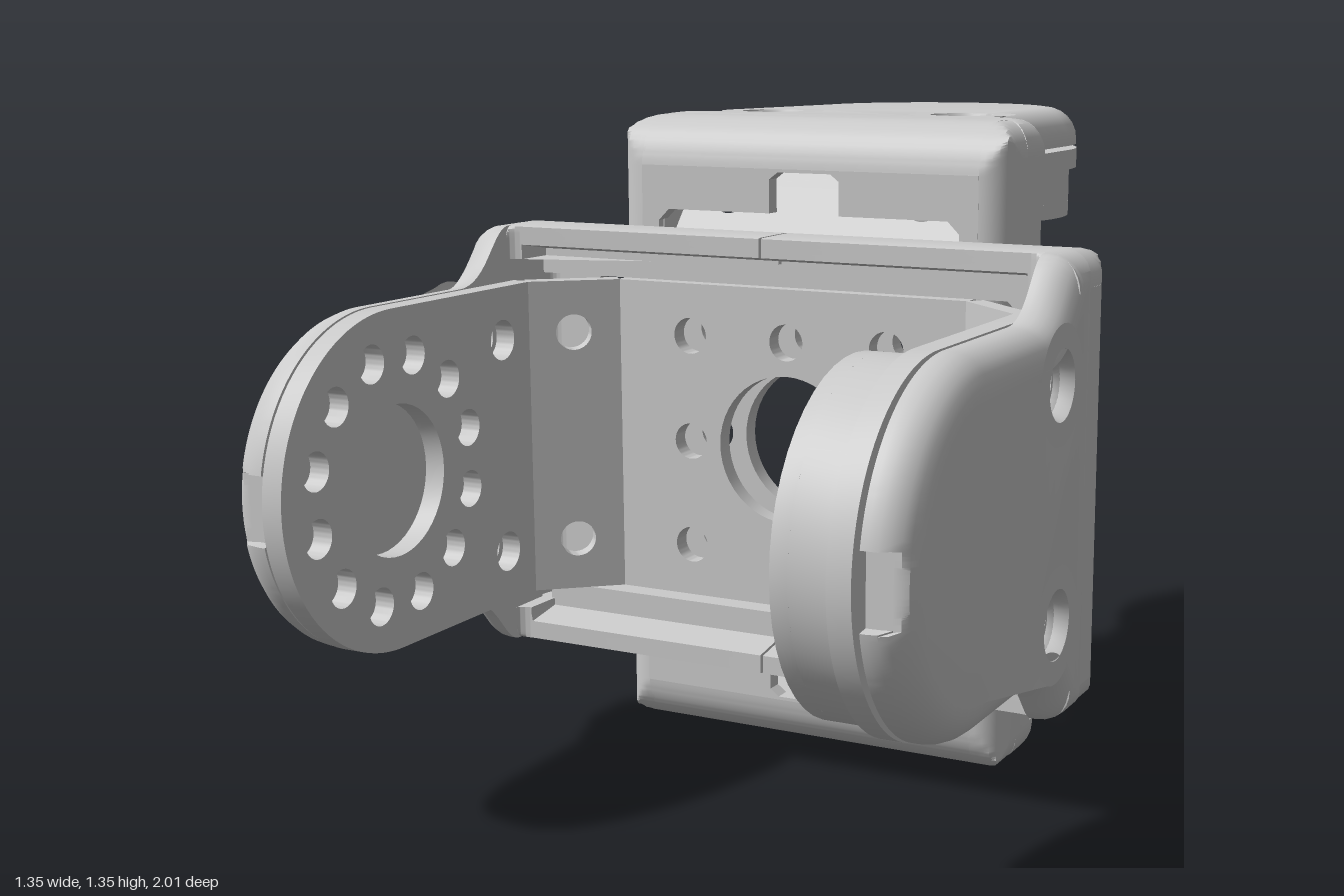
import * as THREE from 'three';
import { toCreasedNormals } from 'three/addons/utils/BufferGeometryUtils.js';

const material = new THREE.MeshStandardMaterial({ color: 0xcccccc, side: THREE.DoubleSide });
const PI = Math.PI;
const EDGE = 0.07; // radius of the rounded outer edges

function add(parent, name, geometry) {
  const mesh = new THREE.Mesh(toCreasedNormals(geometry, 0.6), material);
  mesh.name = name;
  parent.add(mesh);
  return mesh;
}

const polygon = (points) => new THREE.Shape(points.map(([x, y]) => new THREE.Vector2(x, y)));

function rect(x0, x1, y) {
  return polygon([[x0, -y], [x1, -y], [x1, y], [x0, y]]);
}

function hole(shape, x, y, r) {
  shape.holes.push(new THREE.Path().absarc(x, y, r, 0, 2 * PI, false));
}

const slab = (shape, depth, steps = 1) =>
  new THREE.ExtrudeGeometry(shape, { depth, steps, bevelEnabled: false, curveSegments: 24 });

// Arm cover rounded on its far side only, with a small notch pressed into the tip
function roundedCover(shape, depth) {
  const g = new THREE.ExtrudeGeometry(shape, {
    depth: depth - EDGE, bevelThickness: EDGE, bevelSize: EDGE, bevelOffset: -EDGE,
    bevelSegments: 6, curveSegments: 24,
  });
  const p = g.attributes.position;
  for (let i = 0; i < p.count; i++) {
    p.setZ(i, Math.max(0, p.getZ(i)));
    if (Math.abs(p.getY(i)) < 0.066) p.setX(i, Math.min(0.965, p.getX(i)));
  }
  return g;
}

// Rim strip whose outer side draws in along a quarter circle and whose inner side is stepped
function roundedRim(shape) {
  const g = slab(shape, EDGE, 7);
  const p = g.attributes.position;
  for (let i = 0; i < p.count; i++) {
    const a = p.getZ(i) / EDGE * PI / 2, z = EDGE * Math.sin(a);
    const inset = EDGE * (1 - Math.cos(a)), limit = 0.675 - inset;
    const x = Math.max(-limit, Math.min(limit, p.getX(i)));
    const top = z < 0.02 && Math.abs(x) < 0.565 ? 0.1 : 0.21 - 0.4 * inset;
    p.setXYZ(i, x, Math.min(top, Math.max(inset, p.getY(i))), z);
  }
  return g;
}

// Arm outline: x runs along the arm, y across it
function coverShape() {
  const s = new THREE.Shape(), a = 0.21;
  s.moveTo(0.1, -0.45);
  s.lineTo(0.1, 0.45);
  s.lineTo(0.19, 0.45);
  s.bezierCurveTo(0.25, 0.45, 0.27, 0.335, 0.37, 0.335);
  s.lineTo(0.66, 0.335);
  s.absarc(0.66, 0, 0.335, PI / 2, a, true);
  s.absarc(0.66, 0, 0.335, a, -a, true);
  s.absarc(0.66, 0, 0.335, -a, -PI / 2, true);
  s.lineTo(0.37, -0.335);
  s.bezierCurveTo(0.27, -0.335, 0.25, -0.45, 0.19, -0.45);
  return s;
}

function armPlateShape(drilled) {
  const s = new THREE.Shape();
  s.moveTo(0.19, -0.335);
  s.lineTo(0.665, -0.335);
  s.absarc(0.665, 0, 0.335, -PI / 2, PI / 2, false);
  s.lineTo(0.19, 0.335);
  for (const v of [-0.225, 0.225]) hole(s, 0.3, v, 0.042);
  if (drilled) {
    hole(s, 0.665, 0, 0.15);
    for (let i = 0; i < 12; i++) {
      const t = (i + 0.5) * PI / 6;
      hole(s, 0.665 + 0.245 * Math.cos(t), 0.245 * Math.sin(t), 0.038);
    }
  }
  return s;
}

// One arm on the -x side, with its cover, corner and slanted brace
function createArm(drilled) {
  const arm = new THREE.Group();
  const cover = coverShape();
  for (const v of [-0.225, 0.225]) hole(cover, 0.3, v, 0.042);
  add(arm, 'armCover', roundedCover(cover, 0.082).rotateY(-PI / 2).translate(-0.595, 0, 0));
  add(arm, 'armPlate', slab(armPlateShape(drilled), 0.044).rotateY(-PI / 2).translate(-0.542, 0, 0));

  // Counterbored screw seats
  const seat = [[0.042, 0], [0.042, 0.045], [0.056, 0.045], [0.06, 0.065], [0.068, 0.082], [0.114, 0.082]]
    .map(([r, h]) => new THREE.Vector2(r, h));
  for (const v of [-0.225, 0.225]) {
    add(arm, 'screwSeat', new THREE.LatheGeometry(seat, 32).rotateZ(PI / 2).translate(-0.595, v, 0.3));
  }

  // Curved corner wall
  const corner = new THREE.Shape();
  corner.moveTo(-0.57, 0);
  corner.quadraticCurveTo(-0.665, 0.01, -0.675, 0.1);
  corner.lineTo(-0.675, 0.2);
  corner.lineTo(-0.605, 0.2);
  corner.lineTo(-0.605, 0.11);
  corner.quadraticCurveTo(-0.605, 0.035, -0.57, 0.035);
  add(arm, 'cornerWall', slab(corner, 0.77).rotateX(PI / 2).translate(0, 0.385, 0));

  // Slanted plate between web and arm
  const brace = rect(0, 0.197, 0.335);
  for (const v of [-0.225, 0.225]) hole(brace, 0.1, v, 0.038);
  add(arm, 'slantedPlate', slab(brace, 0.04).rotateY(Math.atan2(-0.128, -0.148)).translate(-0.395, 0, 0.075));

  // Rim along one long edge of the web, split at the middle
  for (const s of [-1, 1]) {
    const rim = new THREE.Shape();
    rim.moveTo(s * 0.003, 0);
    rim.lineTo(s * 0.57, 0);
    rim.quadraticCurveTo(s * 0.665, 0.01, s * 0.675, 0.1);
    rim.lineTo(s * 0.675, 0.21);
    rim.lineTo(s * 0.597, 0.21);
    rim.quadraticCurveTo(s * 0.595, 0.187, s * 0.56, 0.187);
    rim.lineTo(s * 0.003, 0.187);
    add(arm, 'rim', roundedRim(rim).rotateX(PI / 2).translate(0, -0.38, 0));
  }
  add(arm, 'rimLedge', new THREE.BoxGeometry(1.14, 0.045, 0.08).translate(0, -0.3655, 0.06));
  return arm;
}

// Round bearing with pockets and a splined hub, on the inside of the +x arm
function createBearing() {
  const bearing = new THREE.Group();
  bearing.name = 'bearing';
  add(bearing, 'bearingBase', new THREE.CylinderGeometry(0.32, 0.32, 0.085, 64).rotateX(PI / 2).translate(0, 0, 0.0425));
  const face = new THREE.Shape().absarc(0, 0, 0.32, 0, 2 * PI, false);
  for (let i = 0; i < 4; i++) {
    const t = i * PI / 2;
    const pocket = [[0.175, -0.04], [0.22, -0.04], [0.22, -0.07], [0.28, -0.07],
      [0.28, 0.07], [0.22, 0.07], [0.22, 0.04], [0.175, 0.04]];
    face.holes.push(polygon(pocket.map(([r, w]) =>
      [r * Math.cos(t) - w * Math.sin(t), r * Math.sin(t) + w * Math.cos(t)])));
  }
  add(bearing, 'bearingFace', slab(face, 0.033).translate(0, 0, 0.084));
  const hub = new THREE.Shape().absarc(0, 0, 0.135, 0, 2 * PI, false);
  const spline = [];
  for (let i = 0; i < 40; i++) {
    const r = i % 2 ? 0.078 : 0.092, t = i * PI / 20;
    spline.push([r * Math.cos(t), r * Math.sin(t)]);
  }
  hub.holes.push(polygon(spline));
  add(bearing, 'splinedHub', slab(hub, 0.07).translate(0, 0, 0.115));
  bearing.rotation.y = -PI / 2;
  bearing.position.set(0.55, 0, 0.662);
  return bearing;
}

// U-shaped bracket: web at z = 0, arms towards +z
function createBracket(name) {
  const bracket = new THREE.Group();
  bracket.name = name;

  const left = createArm(false), right = createArm(true);
  left.name = 'bearingArm';
  right.name = 'drilledArm';
  left.rotation.z = PI;
  bracket.add(left, right, createBearing());

  // Web cover with its keyed window
  const cover = rect(-0.572, 0.572, 0.385);
  const key = [[0.565, 0.06], [0.55, 0.08], [0.48, 0.08], [0.48, 0.32], [0.455, 0.345]];
  const flipX = ([x, y]) => [-x, y], flipY = ([x, y]) => [x, -y];
  const half = [...key, ...key.map(flipX).reverse()];
  cover.holes.push(polygon([...half, ...half.map(flipY).reverse()]));
  add(bracket, 'webCover', slab(cover, 0.035));

  // Web plate with its centre hole and eight screw holes
  const plate = rect(-0.4, 0.4, 0.335);
  hole(plate, 0, 0, 0.155);
  for (const x of [-0.225, 0, 0.225]) {
    for (const y of [-0.225, 0, 0.225]) if (x || y) hole(plate, x, y, 0.038);
  }
  add(bracket, 'webPlate', slab(plate, 0.04).translate(0, 0, 0.035));
  return bracket;
}

export function createModel() {
  const model = new THREE.Group();
  model.name = 'doubleBracket';
  const front = createBracket('frontBracket');
  front.position.set(0, 0.68, 0.003);
  // The back bracket is turned a quarter and faces the other way
  const back = createBracket('backBracket');
  back.position.set(0, 0.68, -0.003);
  back.quaternion.setFromAxisAngle(new THREE.Vector3(1, 1, 0).normalize(), PI);
  model.add(front, back);
  return model;
}
